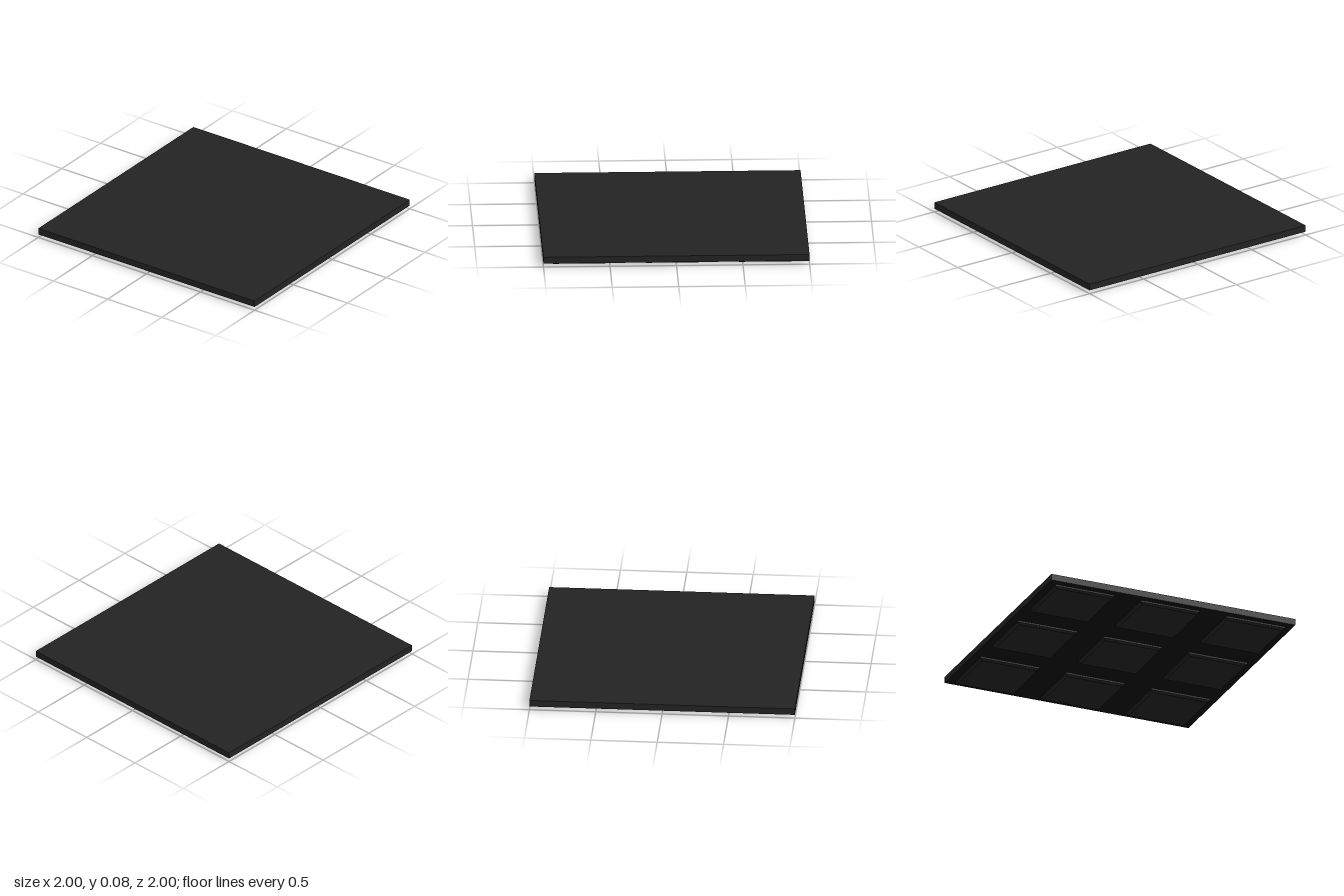
import * as THREE from 'three';

const charcoal = new THREE.MeshStandardMaterial({ color: 0x232323 });
charcoal.name = 'charcoal';
const black = new THREE.MeshStandardMaterial({ color: 0x101010 });
black.name = 'black';

// Square frustum standing on y0, given half widths at its bottom and top
function squareFrustum(name, bottom, top, y0, y1) {
  const r = Math.SQRT2;
  const geometry = new THREE.CylinderGeometry(top * r, bottom * r, y1 - y0, 4)
    .rotateY(Math.PI / 4)
    .translate(0, (y0 + y1) / 2, 0)
    .toNonIndexed();
  geometry.computeVertexNormals();
  const mesh = new THREE.Mesh(geometry, charcoal);
  mesh.name = name;
  return mesh;
}

export function createModel() {
  const model = new THREE.Group();
  model.name = 'panel';

  // Flat slab with a darker underside (box face order: +x -x +y -y +z -z)
  const slab = new THREE.Mesh(
    new THREE.BoxGeometry(2, 0.05, 2).translate(0, 0.052, 0),
    [charcoal, charcoal, charcoal, black, charcoal, charcoal]
  );
  slab.name = 'slab';
  model.add(slab);

  // Three by three grid of feet with chamfered lower edges
  for (const x of [-0.7, 0, 0.7]) {
    for (const z of [-0.7, 0, 0.7]) {
      const foot = new THREE.Group();
      foot.name = 'foot';
      foot.add(
        squareFrustum('footChamfer', 0.226, 0.24, 0, 0.016),
        squareFrustum('footBase', 0.24, 0.24, 0.016, 0.03)
      );
      foot.position.set(x, 0, z);
      model.add(foot);
    }
  }
  return model;
}
